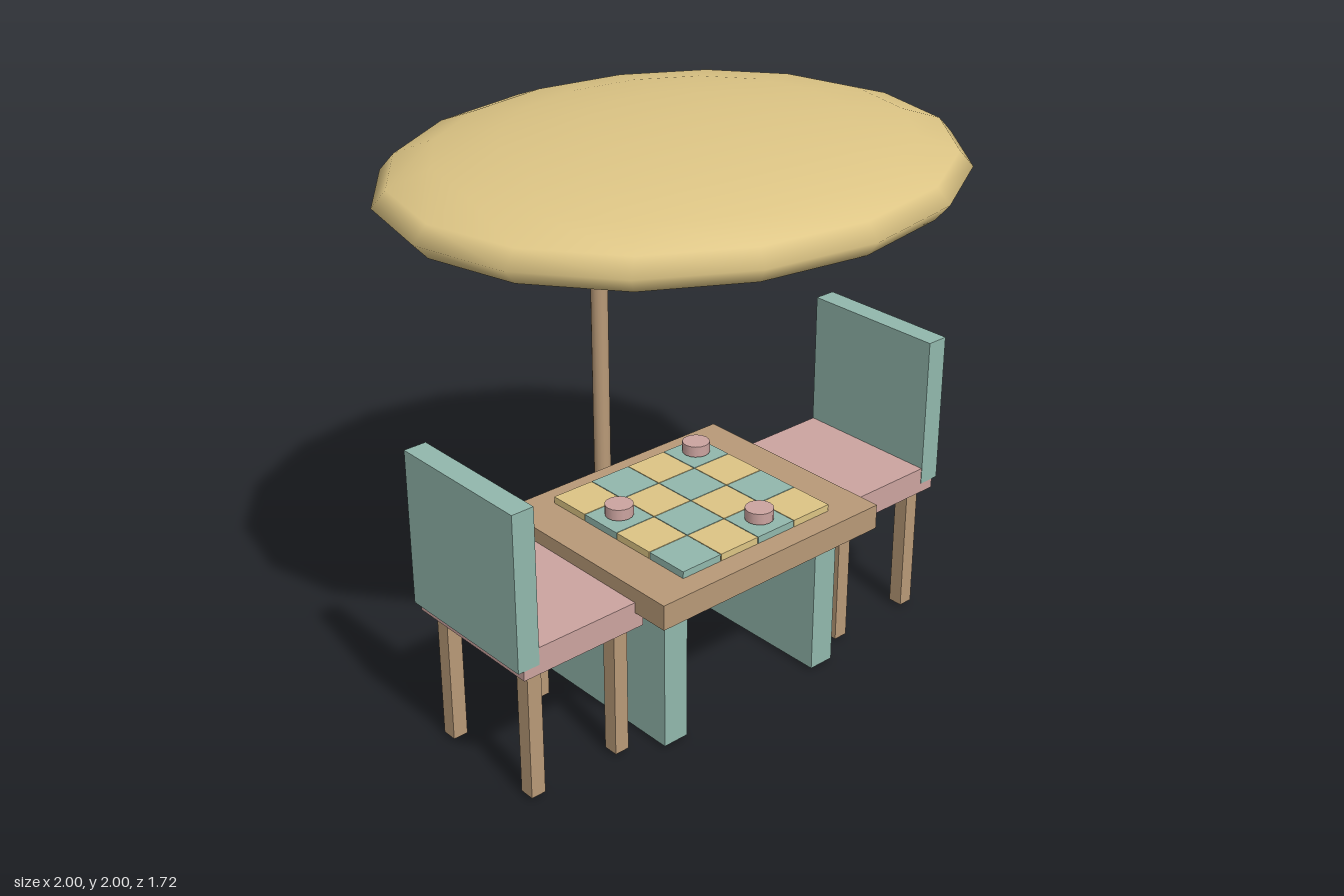
import * as THREE from 'three';

const mat = (color) => new THREE.MeshStandardMaterial({ color });

export function createModel() {
  const group = new THREE.Group();
  const wood = mat(0xb99a78), green = mat(0x92b8ad), pink = mat(0xcca4a0), yellow = mat(0xddc585);
  const midZ = 0.07; // furniture sits a little forward of the parasol pole

  const add = (name, geometry, material, x, y, z, parent = group) => {
    const mesh = new THREE.Mesh(geometry, material);
    mesh.name = name;
    mesh.position.set(x, y, z);
    parent.add(mesh);
    return mesh;
  };
  // Box given by its extents on x and y, and by its depth and centre on z
  const box = (name, material, x0, x1, y0, y1, depth, z, parent) =>
    add(name, new THREE.BoxGeometry(x1 - x0, y1 - y0, depth), material, (x0 + x1) / 2, (y0 + y1) / 2, z, parent);

  // Parasol
  const canopy = new THREE.SphereGeometry(1, 16, 10).scale(1, 0.17, 0.86);
  add('parasolCanopy', canopy, yellow, 0, 1.83, 0);
  add('parasolPole', new THREE.CylinderGeometry(0.03, 0.03, 1.72, 16), wood, 0, 0.86, -0.4);

  // Table with two slab legs
  box('tableTop', wood, -0.482, 0.482, 0.55, 0.64, 0.82, midZ);
  for (const s of [-1, 1]) {
    box('tableLeg', green, s * 0.343 - 0.049, s * 0.343 + 0.049, 0.01, 0.55, 0.62, midZ);
  }

  // Checkered board, 4 x 4 tiles
  const step = 0.165;
  const tileX = (i) => (i - 1.5) * step;
  const tileZ = (j) => midZ + (1.5 - j) * step; // row 0 is at the front
  const tile = new THREE.BoxGeometry(0.162, 0.025, 0.162);
  for (let i = 0; i < 4; i++) {
    for (let j = 0; j < 4; j++) {
      add('boardTile', tile, (i + j) % 2 ? yellow : green, tileX(i), 0.6525, tileZ(j));
    }
  }

  // Playing pieces
  const piece = new THREE.CylinderGeometry(0.049, 0.049, 0.04, 16);
  for (const [i, j] of [[0, 2], [2, 0], [3, 3]]) {
    add('gamePiece', piece, pink, tileX(i), 0.692, tileZ(j));
  }

  // Two chairs facing each other
  for (const s of [-1, 1]) {
    const chair = new THREE.Group();
    chair.name = s > 0 ? 'leftChair' : 'rightChair';
    chair.rotation.y = s > 0 ? 0 : Math.PI;
    chair.position.z = midZ;
    box('chairSeat', pink, 0.45, 0.926, 0.492, 0.588, 0.544, 0, chair);
    box('chairBack', green, 0.867, 0.948, 0.528, 1.08, 0.548, 0, chair);
    for (const x of [0.516, 0.863]) {
      for (const z of [-0.211, 0.211]) {
        box('chairLeg', wood, x - 0.027, x + 0.027, 0.012, 0.492, 0.054, z, chair);
      }
    }
    group.add(chair);
  }
  return group;
}
